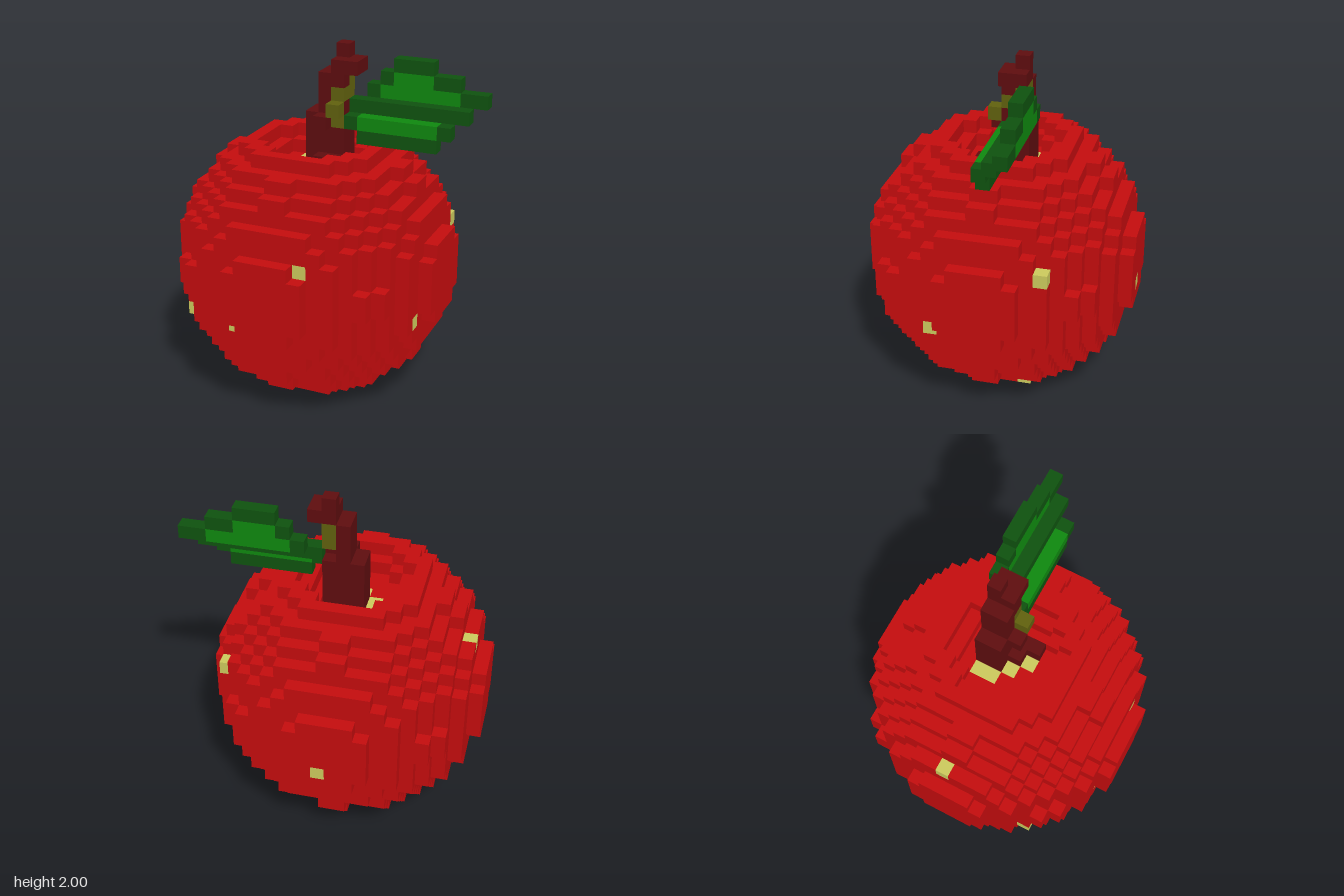
import * as THREE from 'three';

const V = 2 / 26; // edge length of one cube

const mat = (name, color) => {
  const m = new THREE.MeshStandardMaterial({ color });
  m.name = name;
  return m;
};

export function createModel() {
  const materials = {
    skin: mat('red skin', 0xc30c0e),
    speckle: mat('pale yellow', 0xcbc95c),
    stem: mat('dark maroon', 0x5e0d0f),
    moss: mat('olive', 0x60600e),
    leafEdge: mat('dark green', 0x0f520f),
    leafBlade: mat('bright green', 0x0f880f),
  };

  // Cubes are stored as cell -> part; x and z count from the fruit's axis, y from the ground
  const cells = new Map();
  const key = (x, y, z) => `${x},${y},${z}`;
  const fill = (part, [x0, x1], [y0, y1], [z0, z1]) => {
    for (let x = x0; x <= x1; x++)
      for (let y = y0; y <= y1; y++)
        for (let z = z0; z <= z1; z++) cells.set(key(x, y, z), { part, at: [x, y, z] });
  };
  const dot = (part, x, y, z) => fill(part, [x, x], [y, y], [z, z]);

  // Fruit: a ball of cubes with a stepped hollow in the top
  const hollow = { 17: 9, 18: 15 };
  for (let y = 0; y < 19; y++)
    for (let x = -10; x < 10; x++)
      for (let z = -10; z < 10; z++) {
        const r2 = (x + 0.5) ** 2 + (z + 0.5) ** 2;
        if (r2 + (y - 9.5) ** 2 <= 100 && r2 > (hollow[y] ?? 0)) dot('skin', x, y, z);
      }

  // Speckles on the skin, then those around the stem's foot
  for (const p of [
    [2, 12, 8], [-3, 7, 8], [-8, 6, 5], [8, 12, -5], [8, 7, 3],
    [-9, 14, -1], [0, 8, -10], [0, 0, -1], [4, 1, -3],
    [-2, 16, -2], [-2, 16, -1], [-1, 16, 0], [0, 16, 1],
  ]) dot('speckle', ...p);

  // Stem, leaning to one side as it rises
  fill('stem', [-1, 1], [17, 19], [-2, -1]);
  dot('stem', 0, 17, 0);
  dot('stem', 1, 17, 0);
  dot('stem', 1, 17, 1);
  fill('stem', [-1, 0], [20, 20], [-2, -1]);
  dot('stem', 0, 20, 0);
  dot('stem', 1, 20, -2);
  fill('stem', [0, 0], [21, 23], [-2, -1]);
  dot('stem', 1, 21, -1);
  dot('stem', 1, 23, -1);
  fill('stem', [1, 2], [24, 24], [-2, -1]);
  dot('stem', 1, 25, -2);

  // Moss winding round the stem
  for (const p of [[1, 20, -1], [1, 21, 0], [1, 22, -1], [1, 22, -2], [1, 23, -2]]) dot('moss', ...p);

  // Leaf rows: height, depth, dark span, bright span inside it
  for (const [y, z, dark, bright] of [
    [19, -1, [3, 8]],
    [20, -1, [2, 9], [3, 8]],
    [21, -2, [2, 10]],
    [22, -3, [3, 11], [4, 9]],
    [23, -3, [4, 9], [5, 7]],
    [24, -3, [5, 7]],
  ]) {
    fill('leafEdge', dark, [y, y], [z, z]);
    if (bright) fill('leafBlade', bright, [y, y], [z, z]);
  }

  // One mesh per part, made of the cube faces that are not covered by a neighbour
  const group = new THREE.Group();
  group.name = 'apple';
  for (const part of Object.keys(materials)) {
    const pos = [], nor = [], index = [];
    for (const cell of cells.values()) {
      if (cell.part !== part) continue;
      for (let axis = 0; axis < 3; axis++)
        for (const side of [1, -1]) {
          const next = [...cell.at];
          next[axis] += side;
          if (cells.has(key(...next))) continue;
          const n = [0, 0, 0];
          n[axis] = side;
          const base = pos.length / 3;
          for (const [u, v] of [[0, 0], [1, 0], [1, 1], [0, 1]]) {
            const c = [...cell.at];
            c[axis] += side > 0 ? 1 : 0;
            c[(axis + 1) % 3] += u;
            c[(axis + 2) % 3] += v;
            pos.push((c[0] - 1) * V, c[1] * V, c[2] * V);
            nor.push(...n);
          }
          const order = side > 0 ? [0, 1, 2, 0, 2, 3] : [0, 2, 1, 0, 3, 2];
          index.push(...order.map((i) => base + i));
        }
    }
    const geo = new THREE.BufferGeometry();
    geo.setAttribute('position', new THREE.Float32BufferAttribute(pos, 3));
    geo.setAttribute('normal', new THREE.Float32BufferAttribute(nor, 3));
    geo.setIndex(index);
    const mesh = new THREE.Mesh(geo, materials[part]);
    mesh.name = part;
    group.add(mesh);
  }
  return group;
}
